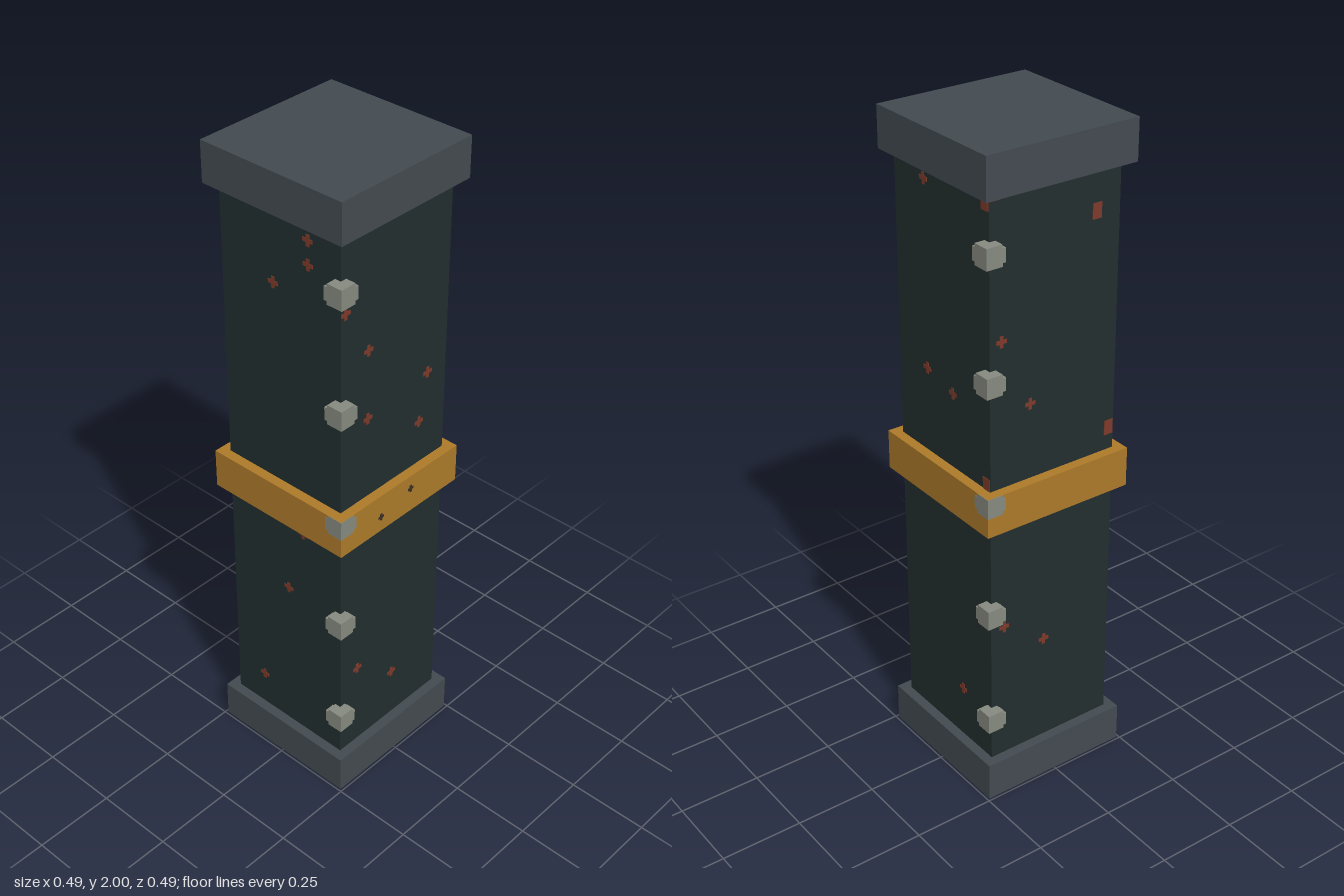
import * as THREE from 'three';
import { mergeGeometries } from 'three/addons/utils/BufferGeometryUtils.js';

const U = 2 / 66; // block unit: the pillar is 66 units tall

export function createModel() {
  const model = new THREE.Group();
  const mat = (name, color) => {
    const m = new THREE.MeshStandardMaterial({ color });
    m.name = name;
    return m;
  };
  const darkGreen = mat('dark green', 0x222e2f);
  const slate = mat('slate grey', 0x434b50);
  const amber = mat('amber', 0xad7a2a);
  const steel = mat('pale steel', 0x868a7f);
  const rust = mat('rust', 0x7d3a2a);
  const soot = mat('soot', 0x3a3026);

  const add = (name, geo, material, parent = model) => {
    const m = new THREE.Mesh(geo, material);
    m.name = name;
    parent.add(m);
    return m;
  };

  // Square slab given by its width and its lower and upper heights, in units
  const slab = (name, width, y0, y1, material) => {
    const m = add(name, new THREE.BoxGeometry(width * U, (y1 - y0) * U, width * U), material);
    m.position.y = ((y0 + y1) / 2) * U;
  };
  slab('baseCap', 16, 0, 4, slate);
  slab('shaft', 14, 4, 62, darkGreen);
  slab('middleBand', 16, 30, 34, amber);
  slab('topCap', 16, 62, 66, slate);

  // Corner clips on two opposite edges, with notched inner edges
  const outer = new THREE.BoxGeometry(5 * U / 3, 2 * U, 5 * U / 3).translate(-U / 6, 0, U / 6);
  const inner = new THREE.BoxGeometry(2 * U, 4 * U / 3, 2 * U);
  const clipGeo = mergeGeometries([outer, inner]);
  for (const turn of [0, Math.PI]) {
    const edge = new THREE.Group();
    edge.name = turn ? 'backLeftClips' : 'frontRightClips';
    edge.rotation.y = turn;
    model.add(edge);
    for (const y of [9, 21, 33, 45, 57]) {
      const clip = add('cornerClip', clipGeo, steel, edge);
      clip.position.set(-7.03 * U, y * U, 7.03 * U); // just proud of the band
    }
  }

  // Small plus-shaped stains and larger blotches, as thin plates
  const plus = (s) => mergeGeometries([
    new THREE.BoxGeometry(s, s / 3, 0.004),
    new THREE.BoxGeometry(s / 3, s, 0.004),
  ]);
  const shapes = {
    spot: plus(0.034),
    speck: plus(0.022),
    blotch: new THREE.BoxGeometry(0.03, 0.045, 0.004),
    edge: new THREE.BoxGeometry(0.03, 0.016, 0.004),
  };

  // Each side lists [shape, offset to the viewer's right, height]
  const sides = {
    front: [0, [
      ['spot', -0.195, 1.655], ['spot', -0.107, 1.505], ['spot', -0.107, 1.29],
      ['spot', 0.135, 1.32], ['spot', 0.105, 1.17], ['spot', -0.14, 0.41],
      ['spot', 0.014, 0.29], ['edge', -0.04, 1.872], ['edge', 0.045, 1.872],
    ]],
    left: [Math.PI / 2, [
      ['spot', -0.077, 1.84], ['spot', -0.077, 1.29], ['spot', 0.043, 1.26],
      ['spot', 0.073, 0.29], ['blotch', 0.195, 1.86], ['blotch', 0.195, 1.045],
      ['edge', 0.1, 1.872],
    ]],
    back: [Math.PI, [
      ['blotch', 0.135, 1.76], ['blotch', 0.195, 1.1], ['spot', -0.175, 1.47],
      ['spot', -0.08, 1.26], ['spot', -0.167, 0.57], ['spot', -0.025, 0.47],
      ['edge', -0.195, 1.872],
    ]],
    right: [-Math.PI / 2, [
      ['spot', -0.025, 1.66], ['spot', 0.1, 1.83], ['spot', 0.1, 1.76],
      ['spot', 0.01, 0.65], ['spot', 0.07, 0.88], ['spot', -0.1, 0.24],
    ]],
  };
  for (const [name, [angle, marks]] of Object.entries(sides)) {
    const g = new THREE.Group();
    g.name = name + 'Stains';
    g.rotation.y = angle;
    model.add(g);
    for (const [shape, x, y] of marks) add('rustStain', shapes[shape], rust, g).position.set(x, y, 7 * U);
  }

  // Soot specks on the band
  for (const [x, y] of [[-0.08, 0.958], [0.043, 0.988]]) {
    add('sootSpeck', shapes.speck, soot).position.set(x, y, 8 * U);
  }
  return model;
}
